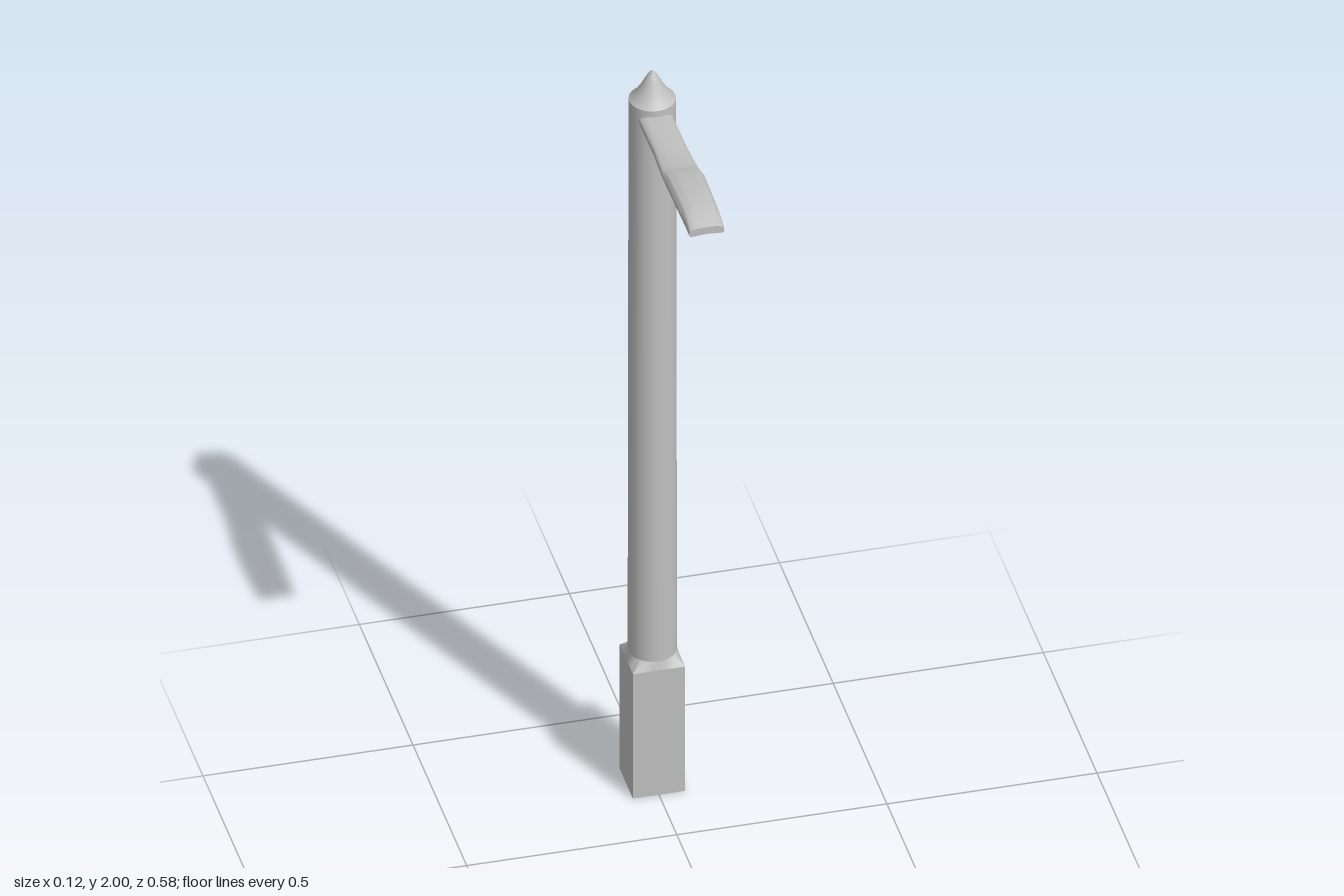
import * as THREE from 'three';
import { toCreasedNormals } from 'three/addons/utils/BufferGeometryUtils.js';

const POLE_Z = -0.228;

// Skin a list of equal-length closed rings (arrays of Vector3), optionally capping the ends.
function loft(rings, capStart = false, capEnd = false, crease = 0.6) {
  const n = rings[0].length;
  const points = rings.flat();
  const index = [];
  for (let r = 0; r < rings.length - 1; r++) {
    for (let i = 0; i < n; i++) {
      const a = r * n + i, b = r * n + (i + 1) % n;
      index.push(a, b, b + n, a, b + n, a + n);
    }
  }
  const cap = (r, flip) => {
    const centre = rings[r].reduce((s, p) => s.add(p), new THREE.Vector3()).divideScalar(n);
    const c = points.push(centre) - 1;
    for (let i = 0; i < n; i++) {
      const a = r * n + i, b = r * n + (i + 1) % n;
      index.push(c, flip ? b : a, flip ? a : b);
    }
  };
  if (capStart) cap(0, true);
  if (capEnd) cap(rings.length - 1, false);
  const geometry = new THREE.BufferGeometry().setFromPoints(points);
  geometry.setIndex(index);
  return toCreasedNormals(geometry, crease);
}

export function createModel() {
  const model = new THREE.Group();
  model.name = 'streetLamp';
  const metal = new THREE.MeshStandardMaterial({ color: 0xc0c0c0, side: THREE.DoubleSide });
  metal.name = 'greyMetal';

  const add = (name, geometry, parent) => {
    const mesh = new THREE.Mesh(geometry, metal);
    mesh.name = name;
    parent.add(mesh);
  };

  const post = new THREE.Group();
  post.name = 'post';
  post.position.z = POLE_Z;
  model.add(post);

  // Square pedestal, open underneath, with a shoulder blending into the round pole
  const sides = 24;
  const ring = (y, radius, square) => Array.from({ length: sides }, (_, i) => {
    const a = -i / sides * Math.PI * 2 + Math.PI / 4;
    const c = Math.cos(a), s = Math.sin(a);
    const k = square ? radius / Math.max(Math.abs(c), Math.abs(s)) : radius;
    return new THREE.Vector3(c * k, y, s * k);
  });
  add('pedestal', loft([ring(0, 0.062, true), ring(0.35, 0.062, true)]), post);
  add('shoulder', loft([ring(0.35, 0.062, true), ring(0.372, 0.057, false)]), post);

  // Slightly tapered pole
  const pole = new THREE.CylinderGeometry(0.055, 0.057, 1.548, sides, 1, true);
  pole.translate(0, 0.372 + 0.774, 0);
  add('pole', pole, post);

  // Pointed finial with a concave flank
  const profile = [[0.055, 1.92], [0.043, 1.931], [0.032, 1.948], [0.026, 1.958],
    [0.021, 1.968], [0.012, 1.985], [0, 2]].map(([r, y]) => new THREE.Vector2(r, y));
  add('finial', new THREE.LatheGeometry(profile, sides), post);

  // Arm swelling into the lamp head: [z, half width, bottom y, top y, underside hollow]
  const stations = [
    [-0.185, 0.040, 1.873, 1.903, 0],
    [-0.05, 0.040, 1.876, 1.905, 0],
    [0.03, 0.044, 1.879, 1.907, 0.002],
    [0.055, 0.045, 1.88, 1.912, 0.004],
    [0.09, 0.046, 1.88, 1.925, 0.007],
    [0.22, 0.044, 1.88, 1.925, 0.009],
    [0.255, 0.043, 1.88, 1.921, 0.009],
    [0.29, 0.042, 1.88, 1.908, 0.009],
  ];
  const steps = 24;
  const armRings = stations.map(([z, w, lo, hi, hollow]) => Array.from({ length: steps }, (_, i) => {
    const a = i / steps * Math.PI * 2;
    const c = Math.cos(a), s = Math.sin(a);
    const x = Math.sign(c) * Math.abs(c) ** 0.7 * w;
    let y = (lo + hi) / 2 + Math.sign(s) * Math.abs(s) ** 0.7 * (hi - lo) / 2;
    // Hollow the middle of the underside, leaving the side rims low
    if (s < 0) y += hollow * Math.max(0, 1 - (x / w) ** 2);
    return new THREE.Vector3(x - 0.003, y, z);
  }));
  add('lampArm', loft(armRings, true, true, 0.9), model);

  return model;
}
